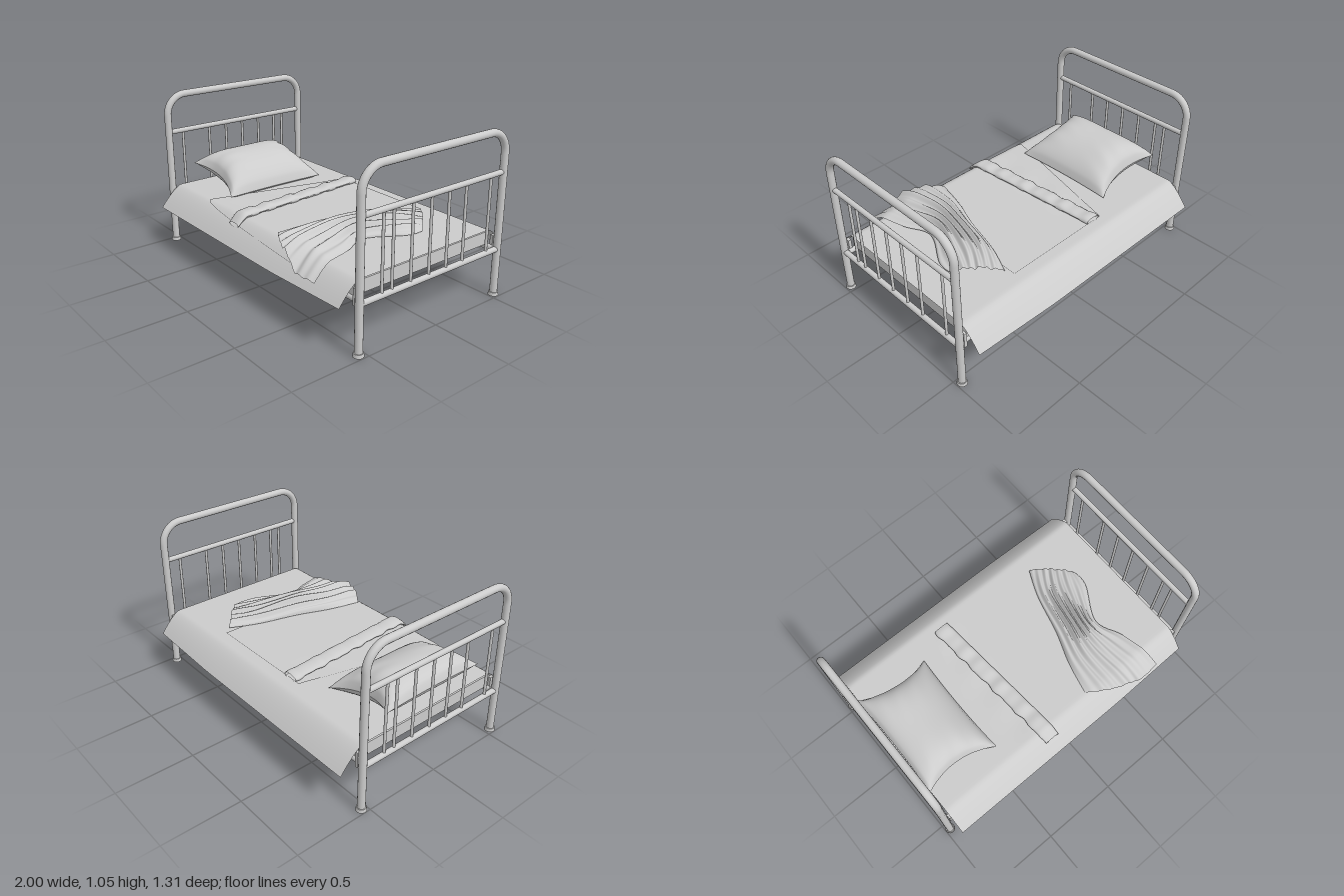
import * as THREE from 'three';

const material = new THREE.MeshStandardMaterial({ color: 0xcccccc });
const cloth = new THREE.MeshStandardMaterial({ color: 0xcccccc, side: THREE.DoubleSide });
const V = (x, y, z) => new THREE.Vector3(x, y, z);
const lerp = THREE.MathUtils.lerp;

function add(parent, name, geometry, mat = material) {
  const mesh = new THREE.Mesh(geometry, mat);
  mesh.name = name;
  parent.add(mesh);
  return mesh;
}

// Round bar between two points
function bar(parent, name, a, b, r, sides = 16) {
  const mesh = add(parent, name, new THREE.CylinderGeometry(r, r, a.distanceTo(b), sides));
  mesh.position.copy(a).lerp(b, 0.5);
  mesh.quaternion.setFromUnitVectors(V(0, 1, 0), b.clone().sub(a).normalize());
  return mesh;
}

// Surface from a rule (u, v) -> point
function surface(rule, nu, nv) {
  const pos = [], idx = [];
  for (let j = 0; j <= nv; j++)
    for (let i = 0; i <= nu; i++) pos.push(...rule(i / nu, j / nv));
  for (let j = 0; j < nv; j++)
    for (let i = 0; i < nu; i++) {
      const a = j * (nu + 1) + i, b = a + 1, c = a + nu + 1, d = c + 1;
      idx.push(a, c, b, b, c, d);
    }
  const g = new THREE.BufferGeometry();
  g.setAttribute('position', new THREE.Float32BufferAttribute(pos, 3));
  g.setIndex(idx);
  g.computeVertexNormals();
  return g;
}

// Height of the bed cover: flat on top, falling away past the edge
const coverY = z => 0.412 - 0.14 * Math.pow(Math.max(0, Math.abs(z) - 0.5) / 0.155, 1.4);

// Bent tube hoop, feet, two cross rails and uprights
function bedEnd(name) {
  const g = new THREE.Group();
  g.name = name;
  const w = 0.54, top = 1.026, r = 0.132, k = r * 0.45;
  const hoop = new THREE.CurvePath();
  hoop.add(new THREE.LineCurve3(V(0, 0.01, w), V(0, top - r, w)));
  hoop.add(new THREE.CubicBezierCurve3(V(0, top - r, w), V(0, top - k, w), V(0, top, w - k), V(0, top, w - r)));
  hoop.add(new THREE.LineCurve3(V(0, top, w - r), V(0, top, r - w)));
  hoop.add(new THREE.CubicBezierCurve3(V(0, top, r - w), V(0, top, k - w), V(0, top - k, -w), V(0, top - r, -w)));
  hoop.add(new THREE.LineCurve3(V(0, top - r, -w), V(0, 0.01, -w)));
  add(g, 'hoop', new THREE.TubeGeometry(hoop, 150, 0.0235, 16));
  for (const s of [-1, 1]) {
    const foot = add(g, 'foot', new THREE.CylinderGeometry(0.029, 0.032, 0.022, 20));
    foot.position.set(0, 0.011, s * w);
  }
  bar(g, 'upperRail', V(0, 0.778, -w), V(0, 0.778, w), 0.017);
  bar(g, 'lowerRail', V(0, 0.3, -w), V(0, 0.3, w), 0.018);
  for (const z of [0.387, 0.315, 0.178, 0.04, -0.095, -0.23, -0.435])
    bar(g, 'upright', V(0, 0.3, z), V(0, 0.778, z), 0.009, 10);
  return g;
}

export function createModel() {
  const bed = new THREE.Group();
  bed.name = 'bed';

  // Head and foot frames
  const footEnd = bedEnd('footboard');
  footEnd.position.set(0.965, 0, 0.003);
  const headEnd = bedEnd('headboard');
  headEnd.position.set(-0.968, 0, 0.003);
  headEnd.rotation.y = Math.PI;
  bed.add(footEnd, headEnd);

  // Side rails, brackets and slats
  for (const s of [-1, 1]) {
    bar(bed, 'sideRail', V(-0.95, 0.3, s * 0.52), V(0.95, 0.3, s * 0.52), 0.018);
    for (const e of [-1, 1])
      add(bed, 'bracket', new THREE.BoxGeometry(0.02, 0.1, 0.03)).position.set(e * 0.932, 0.33, s * 0.535);
  }
  for (let i = 0; i < 12; i++) {
    const x = -0.84 + (i * 1.68) / 11;
    bar(bed, 'slat', V(x, 0.3, -0.52), V(x, 0.3, 0.52), 0.015, 12);
  }

  // Mattress
  add(bed, 'mattress', new THREE.BoxGeometry(1.83, 0.08, 1.05)).position.set(-0.01, 0.356, 0);

  // Bed cover with flared sides
  add(bed, 'bedCover', surface((u, v) => {
    const x = lerp(-0.93, 0.92, u);
    const z = lerp(-0.657, 0.652, v);
    const pull = Math.max(0, x - 0.35) * 0.035;
    const narrow = 1 - pull * Math.max(0, Math.abs(z) - 0.5) / 0.155;
    return [x, coverY(z) + pull * 0.5 * Math.max(0, Math.abs(z) - 0.5) / 0.155, z * narrow];
  }, 24, 80), cloth);

  // Thin blanket lying over the cover
  add(bed, 'blanket', surface((u, v) => {
    const x = lerp(lerp(-0.3, -0.53, v), 0.45, u);
    const z = lerp(-0.43, lerp(0.51, 0.59, Math.sqrt(u)), v);
    const ripple = 0.003 * Math.sin(v * 20 + u * 5) * Math.max(0, 1 - Math.abs(x + 0.25) / 0.15);
    return [x, coverY(z) + 0.007 + ripple, z];
  }, 40, 60), cloth);

  // Turned-back fold of the blanket
  add(bed, 'blanketFold', surface((u, v) => {
    const a = -u * Math.PI * 2, z = lerp(-0.435, 0.575, v);
    const wave = 0.004 * Math.sin(v * 37) + 0.003 * Math.sin(v * 61);
    const x = lerp(-0.215, -0.135, v) + (Math.cos(a) > 0 ? 0.04 : 0.065 + wave) * Math.cos(a);
    return [x, coverY(z) + 0.021 + (0.02 + wave) * Math.sin(a), z];
  }, 24, 70), cloth);

  // Pillow: two bulging skins joined at a pinched, tilted seam
  const pillow = new THREE.Group();
  pillow.name = 'pillow';
  for (const s of [1, -1])
    add(pillow, s > 0 ? 'pillowTop' : 'pillowUnderside', surface((u, v) => {
      const p = u * 2 - 1, q = v * 2 - 1;
      const x = -0.695 + p * (0.245 - 0.012 * (1 - q * q));
      const z = 0.025 + q * (0.365 - 0.06 * (1 - p * p)) + p * 0.008;
      const bulge = Math.pow((1 - p * p) * (1 - q ** 4), 0.55);
      const crease = 0.005 * Math.sin(p * 13 + q * 4) * q * q * bulge;
      const seam = 0.483 - p * 0.055 + 0.015 * q * q * (1 - p * p);
      const y = s > 0 ? seam + 0.14 * bulge + crease : Math.max(0.415, seam - 0.09 * bulge);
      return [x, y, z];
    }, 36, 48), cloth);
  bed.add(pillow);

  // Crumpled throw gathered into a waist, with pleats fanning out both ways
  const curve = list => new THREE.SplineCurve(list.map(p => new THREE.Vector2(...p)));
  const left = curve([[0.48, -0.385], [0.4, -0.2], [0.33, 0.06], [0.25, 0.28], [0.2, 0.49]]);
  const middle = curve([[0.6, -0.28], [0.52, -0.12], [0.455, 0.12], [0.42, 0.34], [0.44, 0.62]]);
  const right = curve([[0.71, -0.17], [0.7, -0.06], [0.58, 0.17], [0.65, 0.36], [0.71, 0.63]]);
  add(bed, 'throw', surface((u, v) => {
    const a = left.getPoint(v), m = middle.getPoint(v), b = right.getPoint(v);
    const wa = 2 * (u - 0.5) * (u - 1), wm = 4 * u * (1 - u), wb = 2 * u * (u - 0.5);
    const x = a.x * wa + m.x * wm + b.x * wb;
    const z = a.y * wa + m.y * wm + b.y * wb;
    const arch = Math.pow(Math.max(0, Math.sin(u * Math.PI)), 0.6);
    const gather = Math.exp(-(((v - 0.5) / 0.35) ** 2));
    const pleat = Math.sin(u * 44 + 1.5 * Math.sin(v * 5)) * (0.007 + 0.009 * gather)
      + 0.006 * Math.sin(u * 19 - v * 9);
    const lift = 0.035 + 0.03 * gather + 0.02 * Math.sin(v * Math.PI);
    // Right corner hangs over the edge, the left one stays stiff
    const hang = THREE.MathUtils.smoothstep(x, 0.42, 0.58);
    const base = lerp(0.412, coverY(z), z > 0 ? lerp(0.25, 0.75, hang) : 1);
    return [x, base + 0.013 + arch * (lift * (1 - 0.5 * hang * v) + pleat), z];
  }, 110, 60), cloth);

  return bed;
}
